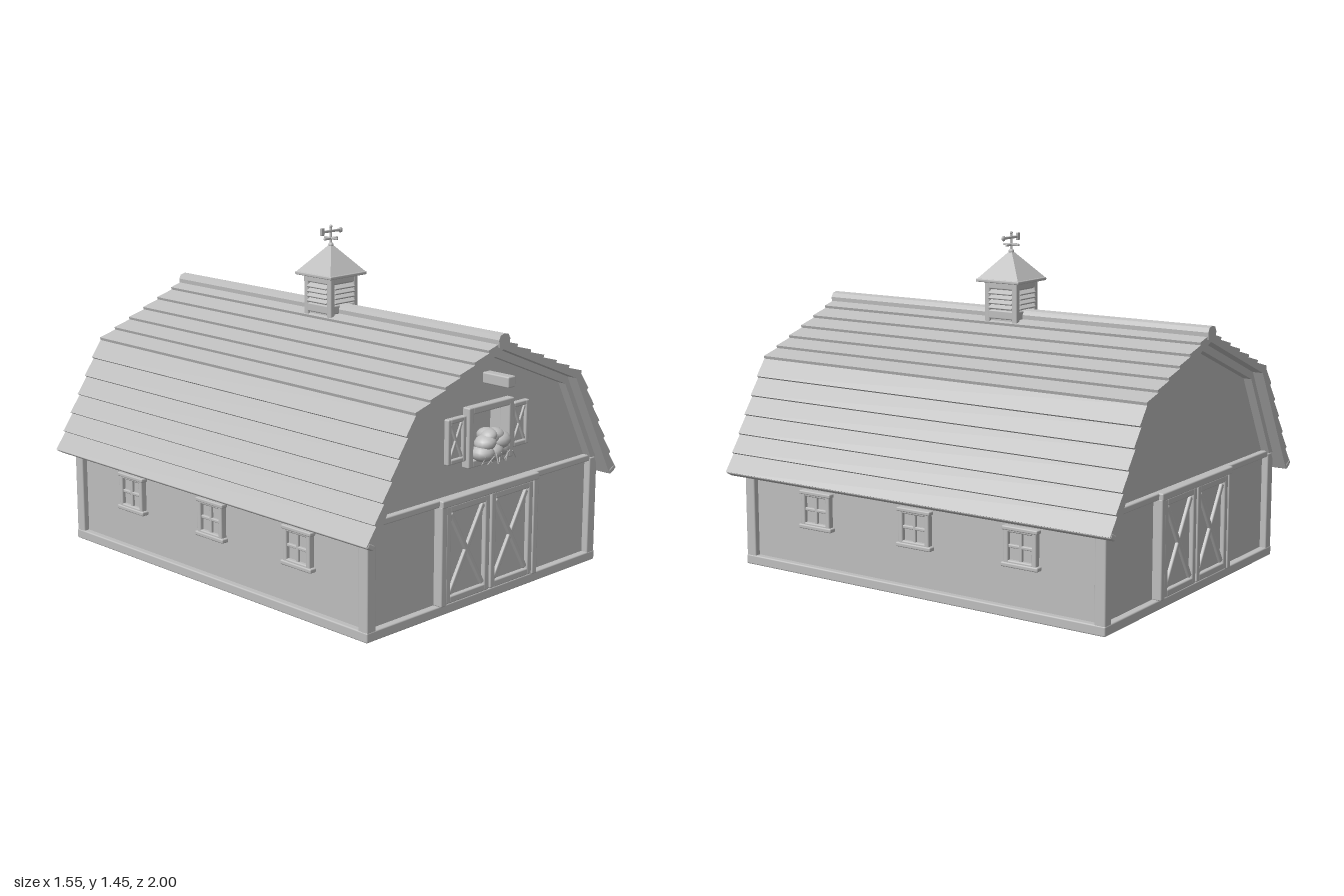
import * as THREE from 'three';
import { RoundedBoxGeometry } from 'three/addons/geometries/RoundedBoxGeometry.js';

const grey = new THREE.MeshStandardMaterial({ color: 0xbdbdbd });
grey.name = 'plain grey';

function add(parent, name, geo, x = 0, y = 0, z = 0) {
  const m = new THREE.Mesh(geo, grey);
  m.name = name;
  m.position.set(x, y, z);
  parent.add(m);
  return m;
}
// Softly rounded bar given by its extents
function bar(parent, name, x0, x1, y0, y1, z0, z1) {
  const w = x1 - x0, h = y1 - y0, d = z1 - z0;
  const r = Math.min(0.006, Math.min(w, h, d) * 0.3);
  return add(parent, name, new RoundedBoxGeometry(w, h, d, 2, r), (x0 + x1) / 2, (y0 + y1) / 2, (z0 + z1) / 2);
}
function group(parent, name) {
  const g = new THREE.Group();
  g.name = name;
  parent.add(g);
  return g;
}
const mirror = pts => [...pts, ...pts.slice().reverse().filter(p => p[0] > 0).map(([x, y]) => [-x, y])];
const shapeOf = pts => new THREE.Shape(pts.map(p => new THREE.Vector2(...p)));
function extrude(parent, name, shape, z0, z1) {
  const geo = new THREE.ExtrudeGeometry(shape, { depth: z1 - z0, bevelEnabled: false });
  return add(parent, name, geo, 0, 0, z0);
}
// Rectangular frame of four bars
function frame(parent, name, x0, x1, y0, y1, t, z0, z1) {
  for (const [a, b] of [[x0, x0 + t], [x1 - t, x1]]) bar(parent, name + 'Stile', a, b, y0, y1, z0, z1);
  for (const [a, b] of [[y0, y0 + t], [y1 - t, y1]]) bar(parent, name + 'Rail', x0 + t * 0.8, x1 - t * 0.8, a, b, z0, z1);
}
// Two diagonal braces across a rectangle
function cross(parent, name, x0, x1, y0, y1, t, z0, z1) {
  const w = x1 - x0, h = y1 - y0, len = Math.hypot(w, h) - t * 0.6;
  for (const s of [-1, 1]) {
    const b = bar(parent, name, -len / 2, len / 2, -t / 2, t / 2, z0, z1 - (s > 0 ? 0.001 : 0));
    b.position.x = (x0 + x1) / 2;
    b.position.y = (y0 + y1) / 2;
    b.rotation.z = s * Math.atan2(h, w);
  }
}

const FRONT = 0.918, WALL = 0.888;
const UNDER = [[0.73, 0.397], [0.476, 0.862], [0, 1.058]];

function buildWalls(barn) {
  bar(barn, 'sill', -0.713, 0.713, 0, 0.042, -FRONT, FRONT);
  const profile = mirror([[0.685, 0.03], [0.685, 0.485], [0.48, 0.865], [0, 1.065]]);
  extrude(barn, 'walls', shapeOf(profile), -WALL, WALL - 0.07);
  const front = shapeOf(profile);
  front.holes.push(new THREE.Path([[-0.11, 0.6], [-0.11, 0.8], [0.11, 0.8], [0.11, 0.6]].map(p => new THREE.Vector2(...p))));
  extrude(barn, 'frontWall', front, WALL - 0.07, WALL);
  for (const sx of [-1, 1]) for (const sz of [-1, 1])
    bar(barn, 'cornerPost', sx * 0.686 - 0.025, sx * 0.686 + 0.025, 0.035, 0.47, sz * 0.892 - 0.025, sz * 0.892 + 0.025);
}

// Doors, crossbeam and gable trim shared by both ends
function buildEnd(parent) {
  bar(parent, 'crossbeam', -0.665, 0.665, 0.455, 0.484, WALL - 0.01, FRONT - 0.004);
  const inner = [[0.655, 0.475], [0.463, 0.833], [0, 1.022]];
  const outer = [[0.69, 0.475], [0.48, 0.868], [0, 1.064]];
  const left = pts => pts.slice(0, 2).map(([x, y]) => [-x, y]);
  const band = [...outer, ...left(outer).reverse(), ...left(inner), ...inner.slice().reverse()];
  extrude(parent, 'gableTrim', shapeOf(band), WALL - 0.005, 0.925);
  bar(parent, 'doorHeader', -0.3, 0.3, 0.452, 0.484, WALL - 0.01, 0.932);
  for (const s of [-1, 1]) {
    bar(parent, 'doorJamb', s * 0.285 - 0.016, s * 0.285 + 0.016, 0.04, 0.46, WALL - 0.01, 0.93);
    const x0 = s > 0 ? 0.004 : -0.27, x1 = x0 + 0.266;
    bar(parent, 'doorPanel', x0, x1, 0.044, 0.454, WALL - 0.01, 0.908);
    frame(parent, 'door', x0, x1, 0.044, 0.454, 0.03, 0.9, 0.926);
    cross(parent, 'doorBrace', x0 + 0.03, x1 - 0.03, 0.074, 0.424, 0.022, 0.9, 0.922);
  }
}

// Hayloft opening with shutters, hay and hoist beam
function buildLoft(parent) {
  frame(parent, 'loftFrame', -0.14, 0.138, 0.582, 0.832, 0.03, WALL - 0.02, 0.922);
  for (const s of [-1, 1]) {
    const x0 = s * 0.195 - 0.055, x1 = x0 + 0.11;
    bar(parent, 'shutterPanel', x0, x1, 0.614, 0.802, WALL - 0.01, 0.897);
    frame(parent, 'shutter', x0, x1, 0.614, 0.802, 0.021, 0.89, 0.91);
    cross(parent, 'shutterBrace', x0 + 0.02, x1 - 0.02, 0.634, 0.782, 0.012, 0.89, 0.906);
  }
  bar(parent, 'hoistBeam', -0.023, 0.023, 0.91, 0.956, 0.86, 1.02);
  const hay = group(parent, 'hay');
  const clumps = [[-0.06, 0.635, 0.045], [0, 0.632, 0.05], [0.06, 0.635, 0.046], [-0.045, 0.675, 0.042], [0.045, 0.67, 0.05],
    [0.002, 0.69, 0.045], [-0.025, 0.7, 0.032], [0.028, 0.695, 0.036]];
  clumps.forEach(([x, y, r], i) => {
    const m = add(hay, 'hayClump', new THREE.SphereGeometry(r, 14, 10), x, y, 0.925 - (i % 3) * 0.012);
    m.scale.set(1.1, 0.78, 1.1);
    m.rotation.z = Math.sin(i * 2.3) * 0.4;
  });
  for (let i = 0; i < 14; i++) {
    const straw = add(hay, 'straw', new THREE.CylinderGeometry(0.0025, 0.0025, 0.045, 5), -0.085 + i * 0.013, 0.613, 0.955 + Math.sin(i * 4) * 0.015);
    straw.rotation.set(0.5 * Math.cos(i * 3), 0, Math.sin(i * 5) * 0.8);
  }
}

function buildWindow(parent) {
  bar(parent, 'windowPane', -0.07, 0.07, 0.22, 0.365, 0, 0.012);
  frame(parent, 'window', -0.077, 0.077, 0.214, 0.37, 0.021, 0, 0.03);
  bar(parent, 'windowSill', -0.088, 0.088, 0.207, 0.226, 0, 0.035);
  bar(parent, 'windowHead', -0.084, 0.084, 0.357, 0.374, 0, 0.033);
  bar(parent, 'windowMullion', -0.007, 0.007, 0.22, 0.365, 0, 0.024);
  bar(parent, 'windowBar', -0.07, 0.07, 0.285, 0.299, 0, 0.024);
}

function buildRoof(barn) {
  // Sawtooth outline of overlapping boards over both pitches
  const outer = [[0.762, 0.41], [0.506, 0.878], [0, 1.09]], edge = [];
  for (let s = 0; s < 2; s++) {
    const [a, b] = [outer[s], outer[s + 1]];
    const dx = b[0] - a[0], dy = b[1] - a[1], len = Math.hypot(dx, dy), n = 6;
    for (let i = 0; i < n; i++) {
      const at = (t, lift) => [a[0] + dx * t + dy / len * lift, a[1] + dy * t - dx / len * lift];
      edge.push(at(i / n, 0.013), at((i + 1) / n - 0.002, 0.001));
    }
  }
  edge.push(outer[2]);
  const under = UNDER.map(([x, y]) => [-x, y]);
  const pts = [...mirror(edge), ...under.slice(0, 2), ...UNDER.slice().reverse()];
  extrude(barn, 'roof', shapeOf(pts), -0.972, 0.972);
  const cap = [[0.032, 1.07], [0.034, 1.1], [0.024, 1.118], [0, 1.124]];
  extrude(barn, 'ridgeCap', shapeOf(mirror(cap)), -0.977, 0.977);
  // Rounded eave edges
  for (const s of [-1, 1]) {
    const e = bar(barn, 'eaveEdge', -0.02, 0.02, -0.012, 0.012, -0.974, 0.974);
    e.position.set(s * 0.748, 0.412, 0);
    e.rotation.z = s * 0.5;
  }
}

function buildCupola(parent) {
  bar(parent, 'cupolaBody', -0.07, 0.07, 1.03, 1.24, -0.07, 0.07);
  for (const sx of [-1, 1]) for (const sz of [-1, 1])
    bar(parent, 'cupolaPost', sx * 0.07 - 0.013, sx * 0.07 + 0.013, 1.05, 1.24, sz * 0.07 - 0.013, sz * 0.07 + 0.013);
  for (let k = 0; k < 4; k++) {
    const side = group(parent, 'cupolaSide');
    side.rotation.y = k * Math.PI / 2;
    bar(side, 'cupolaTopRail', -0.075, 0.075, 1.208, 1.24, 0.06, 0.082);
    bar(side, 'cupolaBottomRail', -0.075, 0.075, 1.08, 1.118, 0.06, 0.082);
    for (let i = 0; i < 4; i++) {
      const slat = bar(side, 'louver', -0.06, 0.06, -0.004, 0.004, -0.014, 0.014);
      slat.position.set(0, 1.133 + i * 0.021, 0.076);
      slat.rotation.x = 0.6;
    }
  }
  bar(parent, 'cupolaEave', -0.11, 0.11, 1.238, 1.252, -0.11, 0.11);
  const cap = new THREE.CylinderGeometry(0.012, 0.152, 0.115, 4, 1).rotateY(Math.PI / 4).toNonIndexed();
  cap.computeVertexNormals();
  add(parent, 'cupolaRoof', cap, 0, 1.306, 0);

  // Weather vane
  const vane = group(parent, 'weatherVane');
  add(vane, 'vanePole', new THREE.CylinderGeometry(0.005, 0.006, 0.1, 10), 0, 1.4, 0);
  add(vane, 'vaneCollar', new THREE.SphereGeometry(0.012, 12, 8), 0, 1.366, 0);
  add(vane, 'vaneFinial', new THREE.SphereGeometry(0.007, 10, 8), 0, 1.446, 0);
  bar(vane, 'compassBarX', -0.04, 0.04, 1.389, 1.399, -0.005, 0.005);
  bar(vane, 'compassBarZ', -0.005, 0.005, 1.39, 1.4, -0.04, 0.04);
  bar(vane, 'arrowShaft', -0.055, 0.06, 1.42, 1.431, -0.005, 0.005);
  bar(vane, 'arrowTail', -0.061, -0.041, 1.41, 1.443, -0.006, 0.006);
  const tip = add(vane, 'arrowTip', new THREE.SphereGeometry(0.012, 12, 8), 0.058, 1.425, 0);
  tip.scale.z = 0.6;
}

export function createModel() {
  const model = new THREE.Group();
  model.name = 'barn';
  const barn = group(model, 'building');
  barn.position.z = -0.02;
  buildWalls(barn);
  buildEnd(group(barn, 'frontEnd'));
  const back = group(barn, 'backEnd');
  back.rotation.y = Math.PI;
  buildEnd(back);
  buildLoft(group(barn, 'hayloft'));
  for (const s of [-1, 1]) for (const z of [-0.523, 0, 0.523]) {
    const w = group(barn, 'sideWindow');
    w.position.set(s * 0.683, 0, z);
    w.rotation.y = s * Math.PI / 2;
    buildWindow(w);
  }
  buildRoof(barn);
  buildCupola(group(barn, 'cupola'));
  return model;
}
